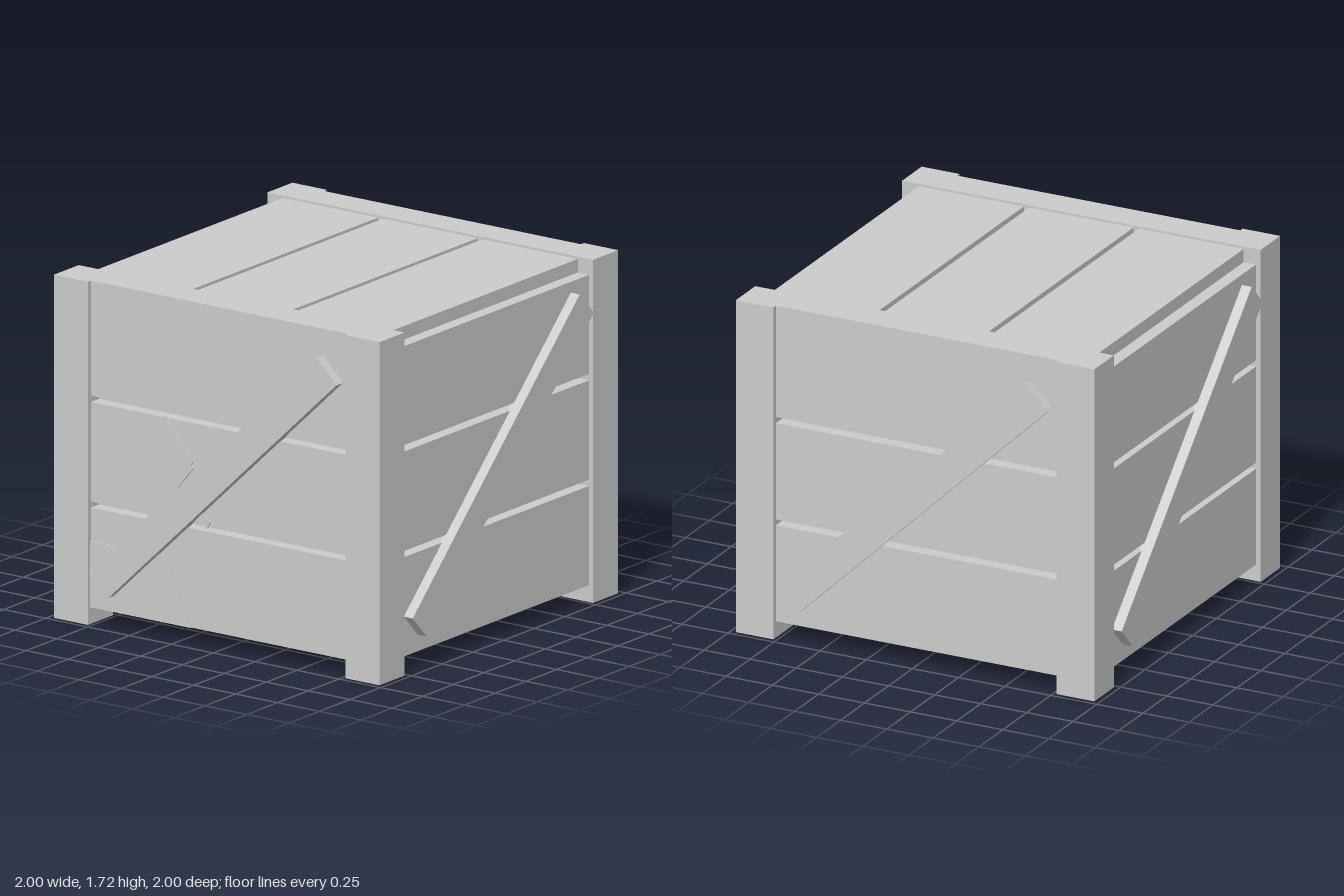
import * as THREE from 'three';

export function createModel() {
  const crate = new THREE.Group();
  crate.name = 'crate';
  const grey = new THREE.MeshStandardMaterial({ color: 0xcccccc });
  grey.name = 'plain grey';

  const add = (parent, name, geometry) => {
    const mesh = new THREE.Mesh(geometry, grey);
    mesh.name = name;
    parent.add(mesh);
    return mesh;
  };
  // Box given by its lower and upper limits
  const box = (parent, name, x0, x1, y0, y1, z0, z1) => {
    const mesh = add(parent, name, new THREE.BoxGeometry(x1 - x0, y1 - y0, z1 - z0));
    mesh.position.set((x0 + x1) / 2, (y0 + y1) / 2, (z0 + z1) / 2);
    return mesh;
  };
  // Flat outline pushed out along z
  const plate = (parent, name, points, z, depth) => {
    const shape = new THREE.Shape(points.map(([x, y]) => new THREE.Vector2(x, y)));
    const mesh = add(parent, name, new THREE.ExtrudeGeometry(shape, { depth, bevelEnabled: false }));
    mesh.position.z = z;
    return mesh;
  };

  const bottom = 0.085, face = 0.947, inner = 0.88, post = 0.768;

  // Solid body seen at the bottom of the gaps
  box(crate, 'core', -inner, inner, bottom, 1.64, -inner, inner);

  // Corner posts
  for (const sx of [-1, 1]) for (const sz of [-1, 1]) {
    const leg = box(crate, 'cornerPost', post, 0.972, 0, 1.722, post, 0.972);
    leg.position.x *= sx;
    leg.position.z *= sz;
  }

  // Four walls, each with three planks and a diagonal brace
  for (let i = 0; i < 4; i++) {
    const wall = new THREE.Group();
    wall.name = ['frontWall', 'leftWall', 'backWall', 'rightWall'][i];
    wall.rotation.y = i * Math.PI / 2;
    crate.add(wall);
    const isEnd = i % 2 === 0;
    box(wall, 'lowerPlank', -post, post, bottom, 0.583, 0.86, face);
    box(wall, 'middlePlank', -post, post, 0.614, 1.113, 0.86, face);
    box(wall, 'upperPlank', -post, post, 1.145, isEnd ? 1.722 : 1.642, isEnd ? post : 0.86, face);
    plate(wall, 'brace', [[-0.74, 0.285], [-0.625, 0.167], [0.735, 1.47], [0.62, 1.588]], face - 0.01, 1.01 - face);
  }

  // Lid planks with narrow gaps
  for (const [x0, x1] of [[-inner, -0.312], [-0.282, 0.282], [0.312, inner]]) {
    box(crate, 'lidPlank', x0, x1, 1.63, 1.71, -post, post);
  }

  // Splintered details on the front
  plate(crate, 'cornerPatch', [[-post, bottom], [-0.168, bottom], [-0.308, 0.417], [-post, 0.417]], face - 0.001, 0.009);
  plate(crate, 'crack', [
    [-0.35, 1.1], [-0.194, 0.92], [-0.189, 0.905], [-0.264, 0.81], [-0.274, 0.792],
    [-0.297, 0.776], [-0.297, 0.75], [-0.285, 0.728], [-0.22, 0.7], [-0.07, 0.6],
    [-0.05, 0.637], [-0.2, 0.735], [-0.253, 0.744], [-0.258, 0.76],
    [-0.152, 0.889], [-0.168, 0.9], [-0.157, 0.92], [-0.318, 1.124],
  ], face - 0.001, 0.009);

  return crate;
}
